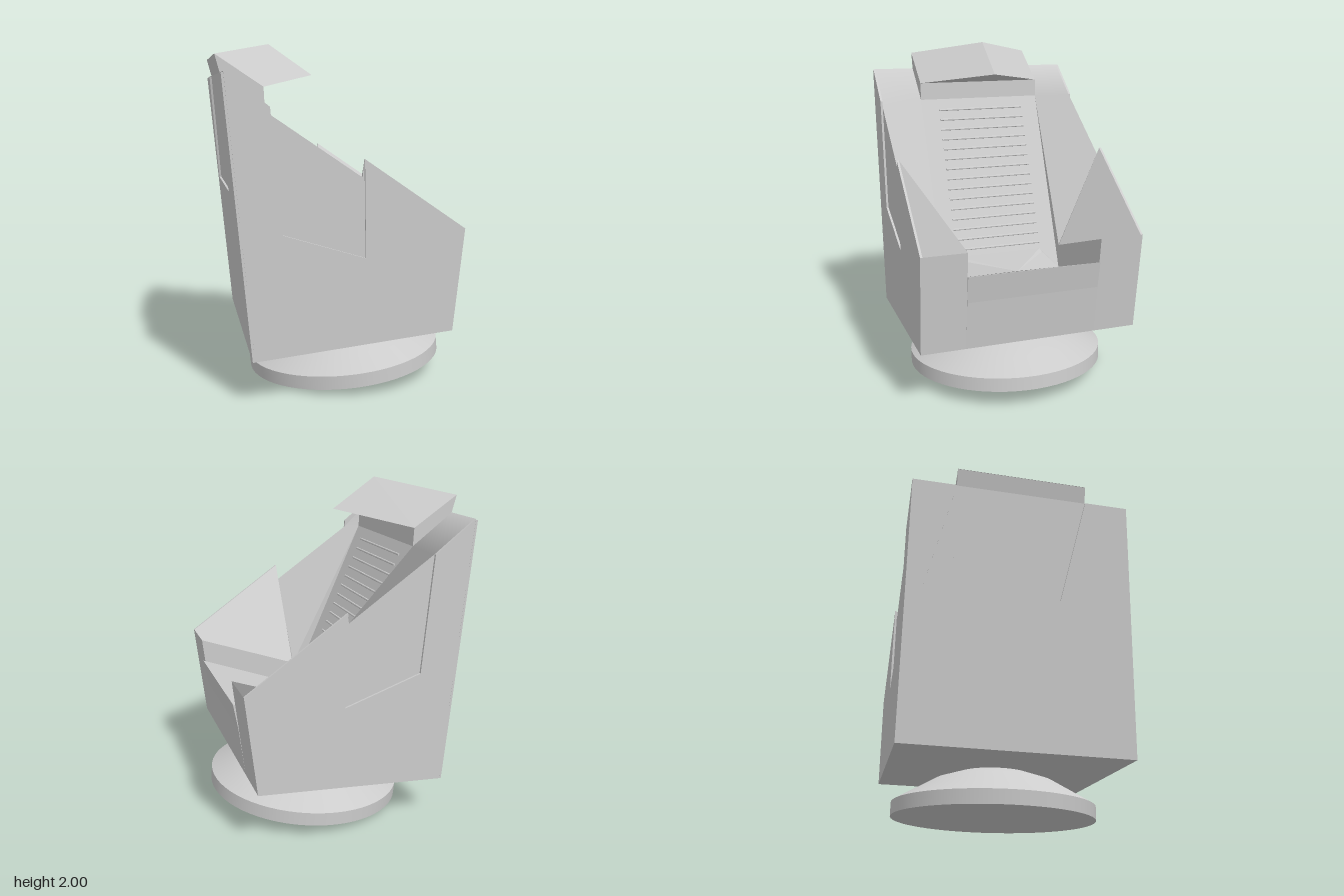
import * as THREE from 'three';
import { ConvexGeometry } from 'three/addons/geometries/ConvexGeometry.js';

const flat = new THREE.MeshStandardMaterial({ color: 0xcccccc, flatShading: true });
const smooth = new THREE.MeshStandardMaterial({ color: 0xcccccc, side: THREE.DoubleSide });

const SKIN = 0.013, HALF = 0.39, OUTER = 0.65;

function add(group, name, geometry, material = flat) {
  const mesh = new THREE.Mesh(geometry, material);
  mesh.name = name;
  group.add(mesh);
  return mesh;
}

const vecs = (pts) => pts.map(([x, y]) => new THREE.Vector2(x, y));

function extrude(pts, depth) {
  return new THREE.ExtrudeGeometry(new THREE.Shape(vecs(pts)), { depth, bevelEnabled: false });
}

function hull(pts) {
  return new ConvexGeometry(pts.map((p) => new THREE.Vector3(...p)));
}

// Solid between two matching counter-clockwise outlines at different z; side = 1 or -1.
// Each face has one normal, but blends into the previous face across a soft bend.
function loft(inner, outer, zInner, zOuter, side) {
  const n = inner.length;
  const a = inner.map(([x, y]) => new THREE.Vector3(x, y, zInner * side));
  const b = outer.map(([x, y]) => new THREE.Vector3(x, y, zOuter * side));
  const pos = [], nor = [];
  const put = (tris, normalOf) => tris.forEach(([p, q, r]) => {
    for (const v of side > 0 ? [p, q, r] : [p, r, q]) {
      pos.push(...v.toArray());
      nor.push(...normalOf(v).toArray());
    }
  });
  const cap = (pts, outline) => THREE.ShapeUtils.triangulateShape(vecs(outline), [])
    .map((t) => t.map((k) => pts[k]));
  const toOuter = new THREE.Vector3(0, 0, side);
  const toInner = new THREE.Vector3(0, 0, -side);
  put(cap(a, inner).map(([p, q, r]) => [p, r, q]), () => toInner);
  put(cap(b, outer), () => toOuter);
  const normals = a.map((p, i) => {
    const j = (i + 1) % n;
    return a[j].clone().add(b[j]).sub(p).sub(b[i])
      .cross(b[i].clone().add(b[j]).sub(p).sub(a[j])).multiplyScalar(side).normalize();
  });
  a.forEach((p, i) => {
    const j = (i + 1) % n;
    const previous = normals[(i + n - 1) % n];
    const start = previous.dot(normals[i]) > 0.7 ? previous : normals[i];
    const tris = side > 0
      ? [[p, a[j], b[j]], [p, b[j], b[i]]]
      : [[p, a[j], b[i]], [a[j], b[j], b[i]]];
    put(tris, (v) => (v === p || v === b[i] ? start : normals[i]));
  });
  const g = new THREE.BufferGeometry();
  g.setAttribute('position', new THREE.Float32BufferAttribute(pos, 3));
  g.setAttribute('normal', new THREE.Float32BufferAttribute(nor, 3));
  return g;
}

export function createModel() {
  const model = new THREE.Group();
  model.name = 'armchair';

  // Tilted round foot with a domed top
  const foot = new THREE.Group();
  foot.name = 'foot';
  foot.position.set(0.107, 0.0575, 0);
  foot.rotation.z = 0.0955;
  model.add(foot);
  add(foot, 'footRim', new THREE.CylinderGeometry(0.6, 0.6, 0.08, 64).translate(0, 0.04, 0), smooth);
  const dome = [[0.6, 0.08], [0.48, 0.15], [0.36, 0.22], [0.22, 0.268], [0, 0.285]];
  add(foot, 'footDome', new THREE.LatheGeometry(vecs(dome), 64), smooth);

  // Seat and backrest core between the arms
  const core = [
    [-0.537, 0.266], [0.592, 0.371], [0.625, 0.66], [0.652, 0.82], [0.04, 0.58],
    [-0.435, 1.64], [-0.44, 1.745], [-0.704, 1.92], [-0.677, 1.82],
  ];
  add(model, 'seatAndBackrest', extrude(core, HALF * 2).translate(0, 0, -HALF));

  // Pointed headrest overhanging the backrest
  add(model, 'headrest', hull([
    [-0.705, 1.92, HALF], [-0.705, 1.92, -HALF], [-0.36, 2, 0], [-0.097, 1.82, 0],
    [-0.44, 1.745, HALF], [-0.44, 1.745, -HALF],
  ]));

  // Pointed step where the backrest meets the seat
  add(model, 'seatWedge', hull([
    [0.04, 0.58, HALF], [0.04, 0.58, -HALF], [0.345, 0.703, 0],
    [0.02, 0.69, 0.28], [0.02, 0.69, -0.28], [-0.02, 0.7, 0.28], [-0.02, 0.7, -0.28],
  ]));

  // Horizontal ribs, almost sunk into the backrest
  const ribs = 16;
  for (let i = 0; i < ribs; i++) {
    const x = -0.405 + (0.4 * i) / (ribs - 1);
    const y = 0.58 + ((0.04 - x) * 1.06) / 0.475;
    const rib = add(model, 'backrestRib', new THREE.CylinderGeometry(0.007, 0.007, 0.56, 8));
    rib.rotation.x = Math.PI / 2;
    rib.position.set(x, y, 0);
  }

  // Arms: the top falls steeply from the outer edge towards the seat
  const lower = [[-0.537, 0.266], [0.592, 0.371], [0.654, 0.96]];
  const armInner = [...lower, [0.04, 0.73], [0.035, 0.73], [-0.435, 1.64], [-0.677, 1.821]];
  // Outer skin with an open notch that leaves a recessed side panel
  const armSkin = [
    ...lower, [0.07, 1.36], [0.08, 0.815], [-0.38, 0.96], [-0.44, 1.64], [-0.677, 1.821],
  ];
  for (const side of [1, -1]) {
    const label = side > 0 ? 'left' : 'right';
    const drop = side > 0 ? 0.04 : 0;
    const armOuter = [
      ...lower, [0.07, 1.36], [0.06, 1.3 - drop], [-0.435, 1.637 - drop], [-0.677, 1.821],
    ];
    add(model, label + 'Arm', loft(armInner, armOuter, HALF, OUTER - SKIN, side), smooth);
    add(model, label + 'ArmSkin', loft(armSkin, armSkin, OUTER - SKIN, OUTER, side), smooth);
  }

  // Back skin with a slanted recessed panel
  const backSkin = [
    [-OUTER, 0], [OUTER, 0], [OUTER, 1.555], [HALF, 1.555],
    [0.23, 0.89], [-0.555, 0.89], [-HALF, 1.555], [-OUTER, 1.555],
  ];
  const up = new THREE.Vector3(-0.14, 1.55, 0).normalize();
  const across = new THREE.Vector3(0, 0, 1);
  const basis = new THREE.Matrix4()
    .makeBasis(across, up, across.clone().cross(up))
    .setPosition(-0.537, 0.266, 0);
  add(model, 'backSkin', extrude(backSkin, SKIN).applyMatrix4(basis));

  return model;
}
